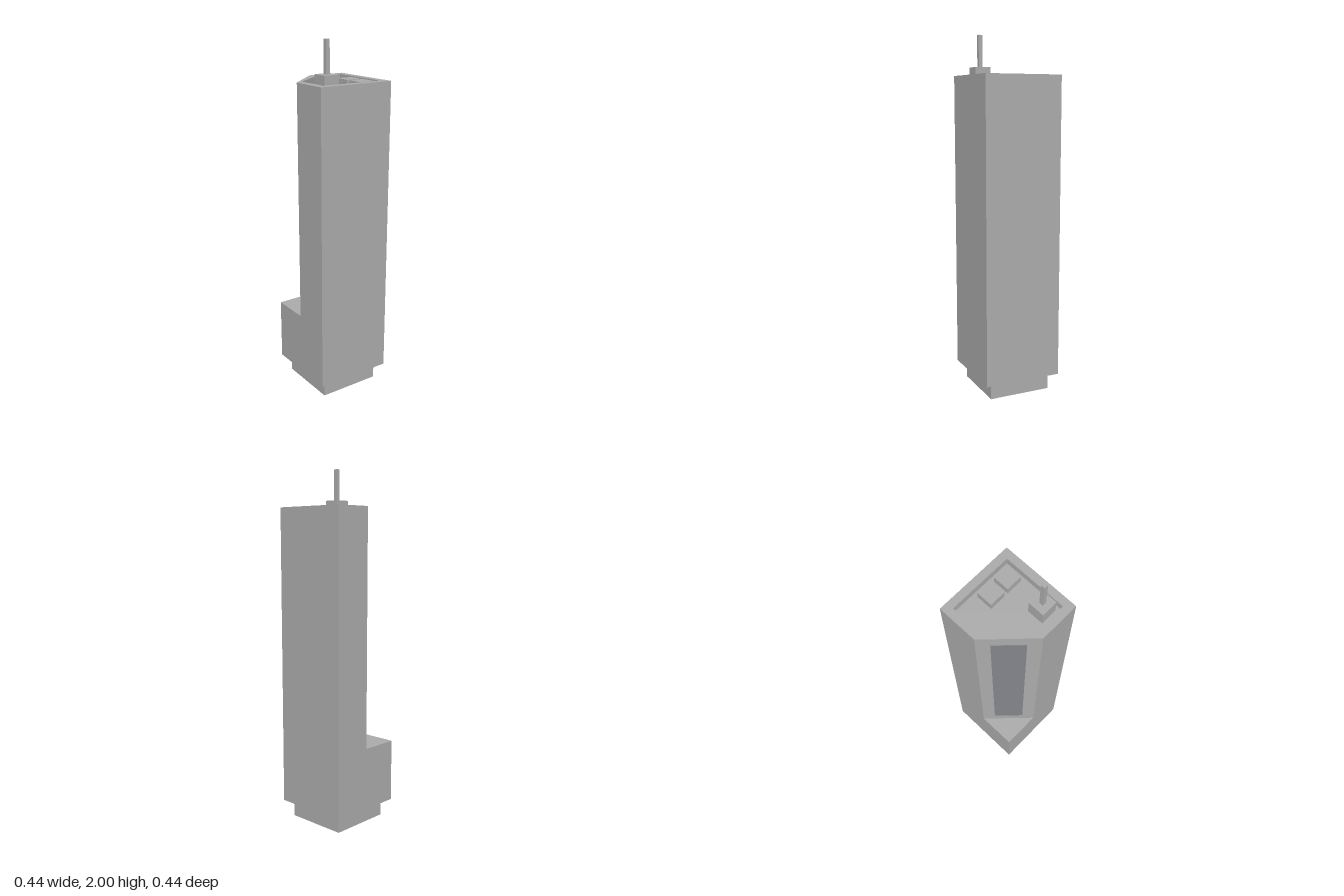
import * as THREE from 'three';

const concrete = new THREE.MeshStandardMaterial({ name: 'concrete grey', color: 0xaaaaaa });
const glass = new THREE.MeshStandardMaterial({ name: 'glass blue grey', color: 0x83848c });

const HALF = 0.222, INNER = 0.179;
const LEDGE = 0.45, FLOOR = 1.735, ROOF = 1.78;

// Square plan with its back right corner cut off, as [x, z] points
function plan(half, cut) {
  return [[-half, half], [half, half], [half, -half], [cut, -half], [-half, -cut]]
    .map(([x, z]) => new THREE.Vector2(x, -z));
}

export function createModel() {
  const tower = new THREE.Group();
  tower.name = 'tower';

  function add(name, geometry, material = concrete) {
    const mesh = new THREE.Mesh(geometry, material);
    mesh.name = name;
    tower.add(mesh);
    return mesh;
  }
  function box(name, width, y0, y1, x = 0, z = 0) {
    add(name, new THREE.BoxGeometry(width, y1 - y0, width)).position.set(x, (y0 + y1) / 2, z);
  }
  function prism(name, shape, y0, y1) {
    const geometry = new THREE.ExtrudeGeometry(shape, { depth: y1 - y0, bevelEnabled: false });
    geometry.rotateX(-Math.PI / 2);
    add(name, geometry).position.y = y0;
  }

  // Plinth and full square lower storeys
  box('plinth', INNER * 2, 0, 0.095);
  box('lowerBlock', HALF * 2, 0.095, LEDGE);

  // Shaft with the cut corner, and the parapet around the sunken roof
  prism('shaft', new THREE.Shape(plan(HALF, 0)), LEDGE, FLOOR);
  const rim = new THREE.Shape(plan(HALF, 0));
  rim.holes.push(new THREE.Path(plan(INNER, 0.018)));
  prism('parapet', rim, FLOOR, ROOF);

  // Tall window strip on the cut corner
  const strip = add('cornerWindow', new THREE.BoxGeometry(0.171, 1.185, 0.004), glass);
  strip.position.set(-HALF / 2, 1.113, -HALF / 2);
  strip.rotation.y = Math.PI * 1.25;

  // Roof units and antenna
  box('roofUnitFront', 0.09, FLOOR, ROOF - 0.002, 0.111, 0.111);
  box('roofUnitBack', 0.09, FLOOR, ROOF - 0.002, 0.111, 0);
  box('antennaBase', 0.09, FLOOR, 1.825, -0.111, 0.111);
  box('antennaMast', 0.022, 1.825, 2, -0.111, 0.111);

  return tower;
}
